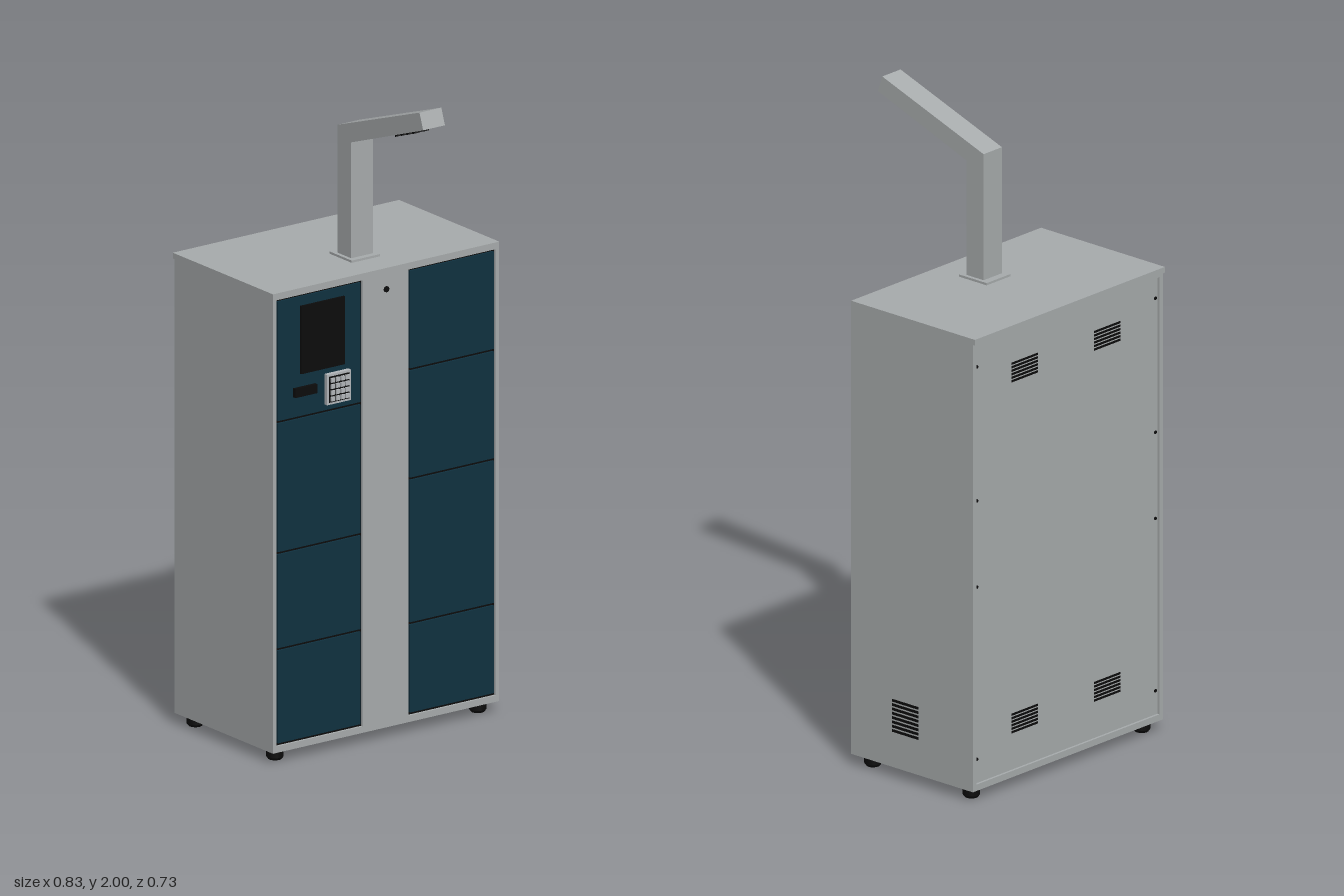
import * as THREE from 'three';

const mat = (name, color) => {
  const m = new THREE.MeshStandardMaterial({ color });
  m.name = name;
  return m;
};

export function createModel() {
  const grey = mat('cabinet grey', 0xa8acad);
  const teal = mat('door teal', 0x0f3140);
  const black = mat('black', 0x0c0c0c);
  const silver = mat('keypad silver', 0xb4b8bc);
  const root = new THREE.Group();
  root.name = 'lockerCabinet';

  const add = (name, geo, m, x = 0, y = 0, z = 0, parent = root) => {
    const mesh = new THREE.Mesh(geo, m);
    mesh.name = name;
    mesh.position.set(x, y, z);
    parent.add(mesh);
    return mesh;
  };
  // box from its min and max on each axis
  const box = (name, m, x0, x1, y0, y1, z0, z1, parent = root) =>
    add(name, new THREE.BoxGeometry(x1 - x0, y1 - y0, z1 - z0), m,
      (x0 + x1) / 2, (y0 + y1) / 2, (z0 + z1) / 2, parent);
  // flat frame with rectangular openings [x0, x1, y0, y1]
  const rect = (path, [x0, x1, y0, y1]) =>
    path.moveTo(x0, y0).lineTo(x1, y0).lineTo(x1, y1).lineTo(x0, y1).closePath();
  const frame = (name, outer, holes, z, depth) => {
    const s = rect(new THREE.Shape(), outer);
    holes.forEach(h => s.holes.push(rect(new THREE.Path(), h)));
    return add(name, new THREE.ExtrudeGeometry(s, { depth, bevelEnabled: false }), grey, 0, 0, z);
  };

  // cabinet shell: core, lid, front and back frames
  box('cabinetBody', grey, -0.415, 0.415, 0.035, 1.437, -0.347, 0.118);
  box('lid', grey, -0.415, 0.415, 1.437, 1.455, -0.363, 0.128);
  const outer = [-0.415, 0.415, 0.035, 1.437];
  const bays = [
    { x0: -0.402, x1: -0.087, splits: [0.055, 0.353, 0.65, 1.055, 1.434] },
    { x0: 0.083, x1: 0.402, splits: [0.055, 0.338, 0.785, 1.123, 1.434] },
  ];
  frame('frontFrame', outer, bays.map(b => [b.x0, b.x1, 0.055, 1.434]), 0.118, 0.01);
  frame('backFrame', outer, [[-0.4, 0.4, 0.055, 1.425]], -0.355, 0.008);

  // doors set into dark bays
  for (const { x0, x1, splits } of bays) {
    box('bayLining', black, x0, x1, 0.055, 1.434, 0.117, 0.12);
    for (let i = 0; i < 4; i++) {
      const lo = splits[i] + (i ? 0.004 : 0.008);
      const hi = splits[i + 1] - (i < 3 ? 0.004 : 0.006);
      box('door', teal, x0 + 0.006, x1 - 0.006, lo, hi, 0.119, 0.127);
    }
  }

  // control panel: screen, card reader, keypad
  box('screen', black, -0.315, -0.155, 1.19, 1.4, 0.126, 0.134);
  box('cardReader', black, -0.34, -0.26, 1.122, 1.15, 0.126, 0.138);
  const keypad = new THREE.Group();
  keypad.name = 'keypad';
  root.add(keypad);
  box('keypadPlate', silver, -0.226, -0.138, 1.078, 1.172, 0.126, 0.141, keypad);
  box('keypadField', black, -0.219, -0.145, 1.085, 1.165, 0.14, 0.143, keypad);
  for (let c = 0; c < 4; c++) {
    for (let r = 0; r < 4; r++) {
      const x = -0.209 + c * 0.018, y = 1.096 + r * 0.0193;
      box('key', silver, x - 0.0065, x + 0.0065, y - 0.0068, y + 0.0068, 0.142, 0.148, keypad);
    }
  }

  // lock on the centre strip
  add('lock', new THREE.CylinderGeometry(0.009, 0.009, 0.008, 20).rotateX(Math.PI / 2),
    black, 0, 1.39, 0.128);

  // louvre vents: thin slats on a face
  const vent = (x, y, z, width, height, count, turn) => {
    const g = new THREE.Group();
    g.name = 'vent';
    g.position.set(x, y, z);
    g.rotation.y = turn;
    root.add(g);
    const pitch = height / count;
    for (let i = 0; i < count; i++) {
      add('ventSlot', new THREE.BoxGeometry(width, pitch * 0.6, 0.003), black,
        0, (i + 0.5) * pitch - height / 2, 0, g);
    }
  };
  vent(0.415, 0.197, -0.087, 0.104, 0.108, 8, Math.PI / 2);
  for (const x of [-0.18, 0.18]) {
    for (const y of [0.2, 1.3]) vent(x, y, -0.347, 0.115, 0.066, 6, Math.PI);
  }

  // back panel screws and feet
  for (const side of [-1, 1]) {
    for (const y of [0.13, 0.67, 0.94, 1.36]) {
      add('screw', new THREE.CylinderGeometry(0.005, 0.005, 0.004, 10).rotateX(Math.PI / 2),
        black, side * 0.39, y, -0.348);
    }
    for (const z of [0.08, -0.31]) {
      add('foot', new THREE.CylinderGeometry(0.026, 0.026, 0.018, 16), black, side * 0.372, 0.017, z);
      add('footPad', new THREE.CylinderGeometry(0.026, 0.02, 0.008, 16), black, side * 0.372, 0.004, z);
      add('footStem', new THREE.CylinderGeometry(0.012, 0.012, 0.012, 12), black, side * 0.372, 0.03, z);
    }
  }

  // bent mast, profile drawn in z and y
  box('mastBase', grey, -0.052, 0.052, 1.455, 1.462, -0.08, 0.029);
  const profile = new THREE.Shape([[-0.057, 1.46], [0.01, 1.46], [0.01, 1.82], [0.363, 1.95],
    [0.345, 2], [-0.057, 1.857]].map(p => new THREE.Vector2(...p)));
  const mastGeo = new THREE.ExtrudeGeometry(profile, { depth: 0.08, bevelEnabled: false });
  mastGeo.translate(0, 0, -0.04).rotateY(-Math.PI / 2);
  add('mast', mastGeo, grey);

  // camera and lamps under the arm
  const head = new THREE.Group();
  head.name = 'cameraHead';
  head.position.set(0, 1.82, 0.01);
  head.rotation.x = -Math.atan2(0.13, 0.353);
  root.add(head);
  add('cameraLens', new THREE.CylinderGeometry(0.009, 0.009, 0.008, 16), black, 0, -0.002, 0.258, head);
  for (const x of [-0.017, 0.017]) {
    for (const z of [0.215, 0.245, 0.275, 0.305]) {
      add('lamp', new THREE.BoxGeometry(0.018, 0.008, 0.014), black, x, -0.002, z, head);
    }
  }
  return root;
}
